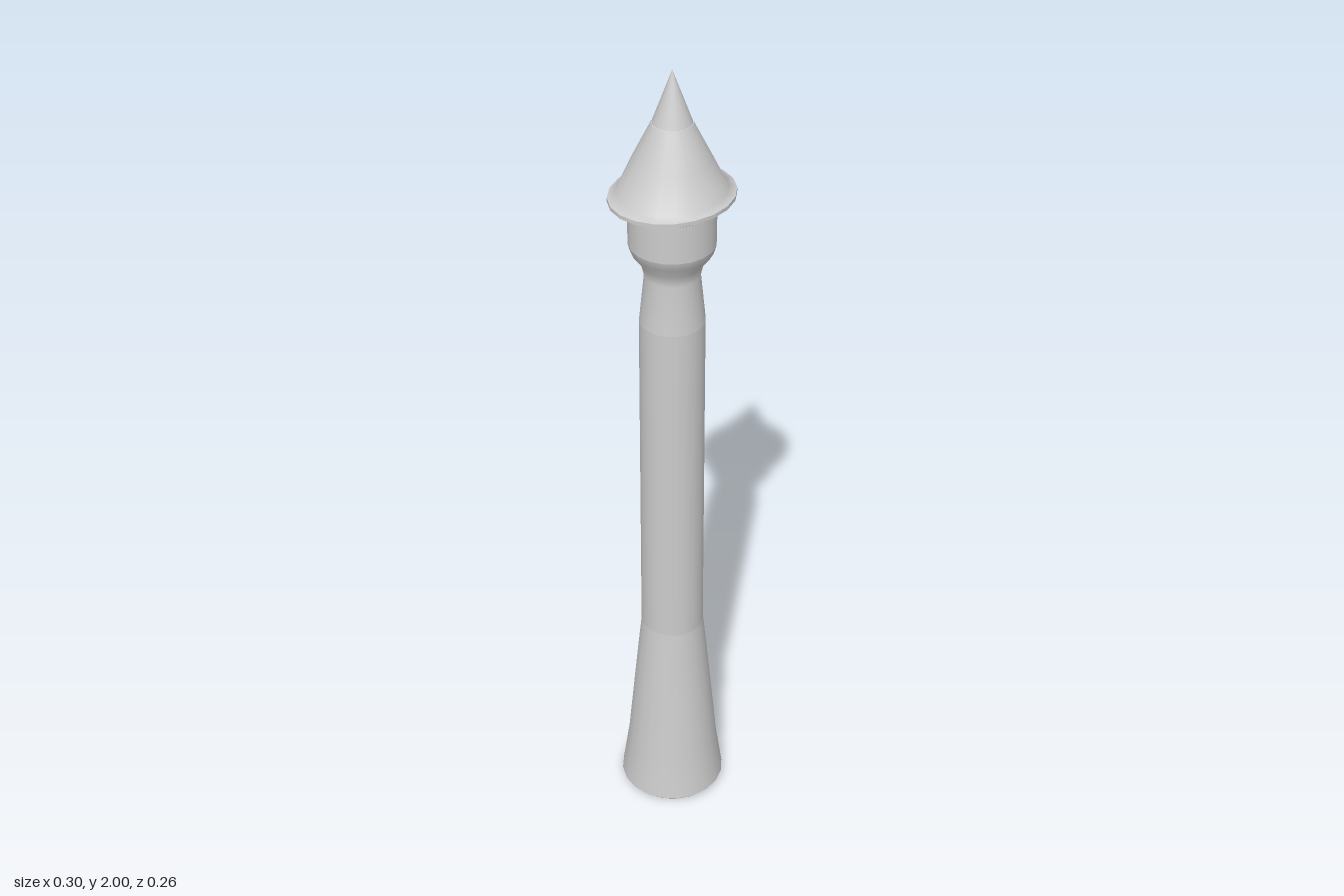
import * as THREE from 'three';

const material = new THREE.MeshStandardMaterial({ color: 0xcccccc });
const SIDES = 20;

// Turned section from [radius, height] pairs, listed bottom to top
function turned(name, profile) {
  const points = profile.map(([r, y]) => new THREE.Vector2(r, y));
  const mesh = new THREE.Mesh(new THREE.LatheGeometry(points, SIDES), material);
  mesh.name = name;
  return mesh;
}

// Turned section whose wide rings are squeezed front to back into an oval
function ovalTurned(name, profile) {
  const mesh = turned(name, profile);
  const p = mesh.geometry.attributes.position;
  for (let i = 0; i < p.count; i++) {
    const r = Math.hypot(p.getX(i), p.getZ(i));
    p.setZ(i, p.getZ(i) * (1 - 0.12 * (r / 0.148) ** 3));
  }
  p.needsUpdate = true;
  return mesh;
}

export function createModel() {
  const group = new THREE.Group();
  group.name = 'post';
  group.add(
    // Closed foot with a bevelled lower edge
    turned('footUnderside', [[0, 0], [0.105, 0]]),
    turned('footBevel', [[0.105, 0], [0.12, 0.005], [0.129, 0.015]]),
    // Flared base running into the straight shaft
    turned('base', [[0.129, 0.015], [0.113, 0.13], [0.087, 0.41], [0.076, 0.52]]),
    turned('shaft', [[0.076, 0.52], [0.075, 1.39]]),
    // Narrow neck swelling into the collar
    turned('neck', [[0.075, 1.39], [0.063, 1.51], [0.07, 1.54], [0.092, 1.57], [0.098, 1.59]]),
    turned('collar', [[0.098, 1.59], [0.098, 1.7]]),
    // Pointed cap with an oval brim
    ovalTurned('capUnderside', [[0.08, 1.685], [0.11, 1.686], [0.148, 1.703]]),
    ovalTurned('capRim', [[0.148, 1.703], [0.148, 1.712]]),
    ovalTurned('capRoof', [[0.148, 1.712], [0.126, 1.72], [0.088, 1.795], [0.045, 1.88]]),
    turned('capTip', [[0.044, 1.88], [0, 2]])
  );
  return group;
}
